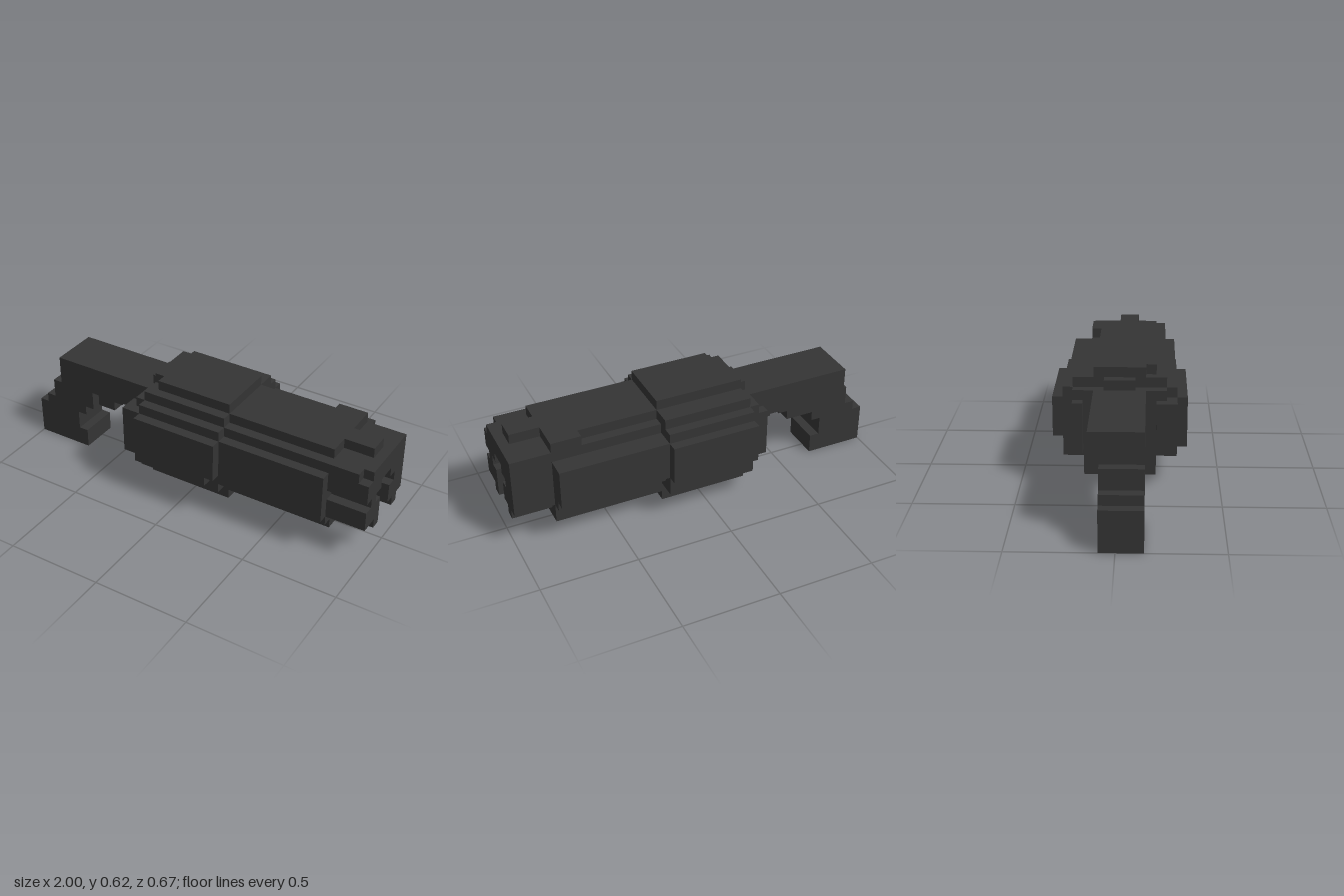
import * as THREE from 'three';

const U = 2 / 39; // one block of the grid

export function createModel() {
  const model = new THREE.Group();
  model.name = 'blockDevice';
  const charcoal = new THREE.MeshStandardMaterial({ color: 0x343434 });
  charcoal.name = 'charcoal';

  // Each box is [x0, x1, y0, y1, z0, z1], counted in blocks
  function part(name, boxes) {
    const group = new THREE.Group();
    group.name = name;
    boxes.forEach(([x0, x1, y0, y1, z0, z1]) => {
      const mesh = new THREE.Mesh(
        new THREE.BoxGeometry((x1 - x0) * U, (y1 - y0) * U, (z1 - z0) * U), charcoal);
      mesh.name = name + 'Block';
      mesh.position.set(((x0 + x1) / 2 - 19.5) * U, (y0 + y1) / 2 * U, ((z0 + z1) / 2 - 6.5) * U);
      group.add(mesh);
    });
    model.add(group);
  }

  // Stepped grip hanging from the rear arm
  part('grip', [
    [0, 6, 0, 2, 5, 9],
    [0, 5, 2, 4, 5, 9],
    [1, 6, 4, 5, 5, 9],
    [2, 7, 5, 7, 5, 9],
  ]);
  part('arm', [[3, 13, 7, 10, 4, 9]]);
  part('armBrace', [
    [7, 9, 5, 6, 5, 8],
    [7, 10, 6, 7, 5, 8],
    [11, 13, 6, 7, 5, 8],
  ]);

  // Rear collar with side lugs
  part('collar', [
    [13, 15, 4, 10, 4, 9],
    [14, 15, 4, 10, 2, 11],
    [14, 15, 10, 11, 5, 8],
    [14, 15, 3, 4, 4, 9],
  ]);
  part('collarLug', [
    [13, 15, 4, 9, 2, 3],
    [13, 15, 4, 9, 10, 12],
  ]);

  // Thick middle housing
  part('housing', [
    [15, 24, 1, 3, 3, 10],
    [15, 24, 3, 10, 1, 12],
    [15, 24, 10, 11, 2, 11],
    [15, 16, 11, 12, 4, 9],
    [16, 24, 11, 12, 4, 10],
  ]);
  part('housingSidePlate', [
    [15, 24, 5, 9, 0, 1],
    [15, 23, 4, 9, 12, 13],
    [23, 24, 5, 9, 12, 13],
  ]);

  // Barrel and its layered plates
  part('barrel', [
    [24, 35, 3, 10, 3, 11],
    [24, 35, 4, 9, 2, 3],
  ]);
  part('barrelSidePlate', [
    [24, 35, 5, 9, 1, 2],
    [24, 35, 4, 9, 11, 12],
  ]);
  part('barrelTopPlate', [
    [24, 32, 10, 11, 4, 10],
    [32, 35, 10, 11, 3, 10],
    [35, 38, 10, 11, 6, 8],
  ]);
  part('barrelBottomPlate', [
    [24, 35, 2, 3, 3, 10],
    [35, 38, 2, 3, 6, 7],
  ]);

  // Muzzle walls around a cross-shaped opening
  part('muzzle', [
    [35, 39, 8, 10, 3, 10],
    [35, 39, 7, 8, 3, 6],
    [35, 39, 7, 8, 8, 10],
    [35, 39, 6, 7, 3, 5],
    [35, 39, 6, 7, 9, 10],
    [35, 39, 4, 6, 3, 6],
    [35, 39, 4, 6, 8, 10],
  ]);
  part('muzzleFoot', [
    [35, 39, 3, 4, 4, 5],
    [35, 39, 3, 4, 8, 9],
  ]);
  part('muzzleSideRail', [
    [35, 38, 9, 10, 10, 11],
    [35, 39, 7, 9, 10, 11],
    [35, 39, 4, 6, 10, 11],
  ]);
  part('muzzlePin', [[35, 37, 5, 6, 7, 8]]);

  return model;
}
